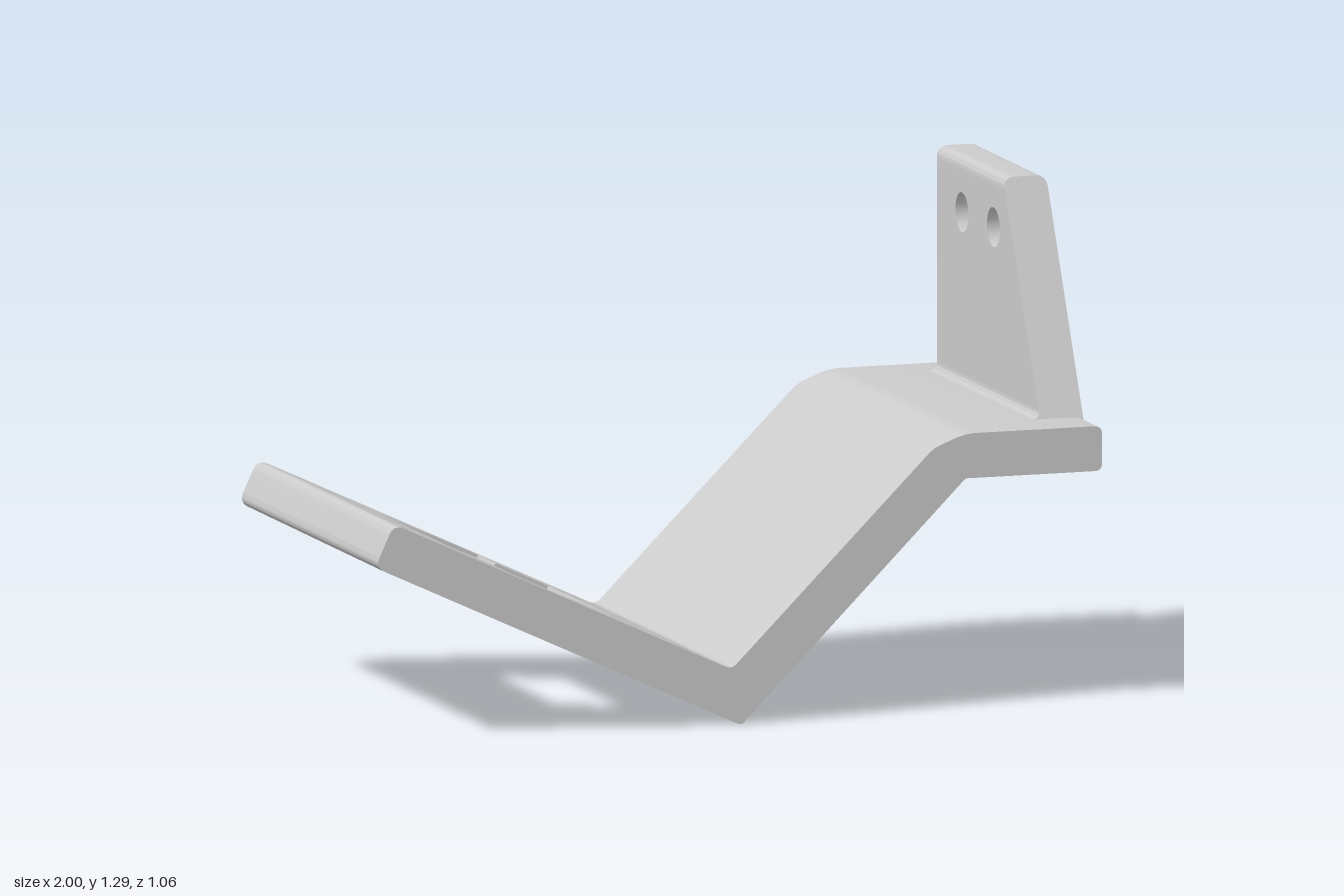
import * as THREE from 'three';
import { toCreasedNormals } from 'three/addons/utils/BufferGeometryUtils.js';

const material = new THREE.MeshStandardMaterial({ color: 0xcccccc });
const HALF = 0.53;    // half depth of the bent strip
const THICK = 0.12;   // thickness of the tilted plate
const V = (x, y, z) => new THREE.Vector3(x, y, z);

// Closed outline from [x, y, cornerRadius] points
function outline(points) {
  const shape = new THREE.Shape();
  const n = points.length;
  points.forEach(([x, y, r = 0], i) => {
    const p = new THREE.Vector2(x, y);
    const toward = ([qx, qy]) => {
      const d = new THREE.Vector2(qx, qy).sub(p).normalize();
      return p.clone().addScaledVector(d, r);
    };
    const a = toward(points[(i + n - 1) % n]);
    const b = toward(points[(i + 1) % n]);
    if (i === 0) shape.moveTo(a.x, a.y); else shape.lineTo(a.x, a.y);
    if (r > 0) shape.quadraticCurveTo(x, y, b.x, b.y);
  });
  shape.closePath();
  return shape;
}

function circle(x, y, r) {
  const path = new THREE.Path();
  path.absarc(x, y, r, 0, Math.PI * 2, true);
  return path;
}

function extrude(shape, depth) {
  return new THREE.ExtrudeGeometry(shape, { depth, bevelEnabled: false, curveSegments: 12 });
}

export function createModel() {
  const group = new THREE.Group();
  group.name = 'angledBracket';
  const add = (name, geometry) => {
    const mesh = new THREE.Mesh(toCreasedNormals(geometry, 0.6), material);
    mesh.name = name;
    group.add(mesh);
  };

  // Tilted plate frame: u runs outward along the plate, n is its upward normal
  const tilt = THREE.MathUtils.degToRad(25);
  const u = V(-Math.cos(tilt), Math.sin(tilt), 0);
  const n = V(Math.sin(tilt), Math.cos(tilt), 0);
  const origin = V(-0.03, 0, 0);
  const at = (s, h, r) => {
    const p = origin.clone().addScaledVector(u, s).addScaledVector(n, h);
    return [p.x, p.y, r];
  };
  const seam = 0.11, tip = 1.04, end = 1.08;

  // Sloping arm and shelf
  const arm = extrude(outline([
    at(seam, 0), [-0.03, 0, 0.01], [0.57, 0.6],
    [0.935, 0.6, 0.02], [0.935, 0.715, 0.022],
    [0.57, 0.715, 0.03], [0.485, 0.682, 0.02],
    [-0.055, 0.145, 0.018], at(seam, THICK),
  ]), HALF * 2);
  add('armAndShelf', arm.translate(0, 0, -HALF));

  // Tilted plate with a cross-shaped window and four screw holes
  const plate = outline([[seam, -HALF], [tip, -HALF], [tip, HALF], [seam, HALF]]);
  const s0 = 0.332, s1 = 0.818, n0 = 0.487, n1 = 0.674, w = 0.243, t = 0.378;
  plate.holes.push(new THREE.Path([
    [s0, -w], [s0, w], [n0, w], [n0, t], [n1, t], [n1, w],
    [s1, w], [s1, -w], [n1, -w], [n1, -t], [n0, -t], [n0, -w],
  ].map(([a, b]) => new THREE.Vector2(a, b))));
  for (const s of [0.167, 0.983])
    for (const z of [-0.41, 0.405]) plate.holes.push(circle(s, z, 0.03));
  add('tiltedPlate', extrude(plate, THICK).applyMatrix4(
    new THREE.Matrix4().makeBasis(u, V(0, 0, 1), n).setPosition(origin)));

  // Rounded outer end of the tilted plate
  const lip = extrude(outline([
    at(tip, THICK), at(end, THICK, 0.03), at(end, 0, 0.03), at(tip, 0),
  ]), HALF * 2);
  add('plateLip', lip.translate(0, 0, -HALF));

  // Upright tab: back edge vertical, front edge sloping
  const inner = 0.82, outer = 0.935, back = -0.42, top = 1.29, capBase = 1.25;
  const frontZ = y => 0.095 + (top - y) * 0.5;
  const tab = outline([
    [-frontZ(0.69), 0.69], [-back, 0.69], [-back, capBase], [-frontZ(capBase), capBase],
  ]);
  for (const z of [0.02, -0.225]) tab.holes.push(circle(-z, 1.15, 0.051));
  add('uprightTab', extrude(tab, outer - inner).applyMatrix4(
    new THREE.Matrix4().makeBasis(V(0, 0, -1), V(0, 1, 0), V(1, 0, 0)).setPosition(inner, 0, 0)));

  // Pieces along the tab whose front end follows the sloping edge
  const alongTab = shape => {
    const geometry = extrude(shape, 1);
    const p = geometry.attributes.position;
    for (let i = 0; i < p.count; i++)
      p.setZ(i, p.getZ(i) < 0.5 ? back : frontZ(p.getY(i)));
    geometry.computeVertexNormals();
    return geometry;
  };
  add('tabRoundedTop', alongTab(outline([
    [inner, capBase], [outer, capBase], [outer, top, 0.03], [inner, top, 0.03],
  ])));
  const fillet = new THREE.Shape();
  fillet.moveTo(inner + 0.01, 0.71);
  fillet.lineTo(inner + 0.01, 0.737);
  fillet.lineTo(inner, 0.737);
  fillet.quadraticCurveTo(inner, 0.715, inner - 0.022, 0.715);
  fillet.lineTo(inner - 0.022, 0.71);
  fillet.closePath();
  add('tabFillet', alongTab(fillet));

  // Locating peg on the outer face
  const peg = new THREE.CylinderGeometry(0.051, 0.051, 0.075, 40);
  add('locatingPeg', peg.rotateZ(Math.PI / 2).translate(0.9625, 0.84, -0.34));

  return group;
}
